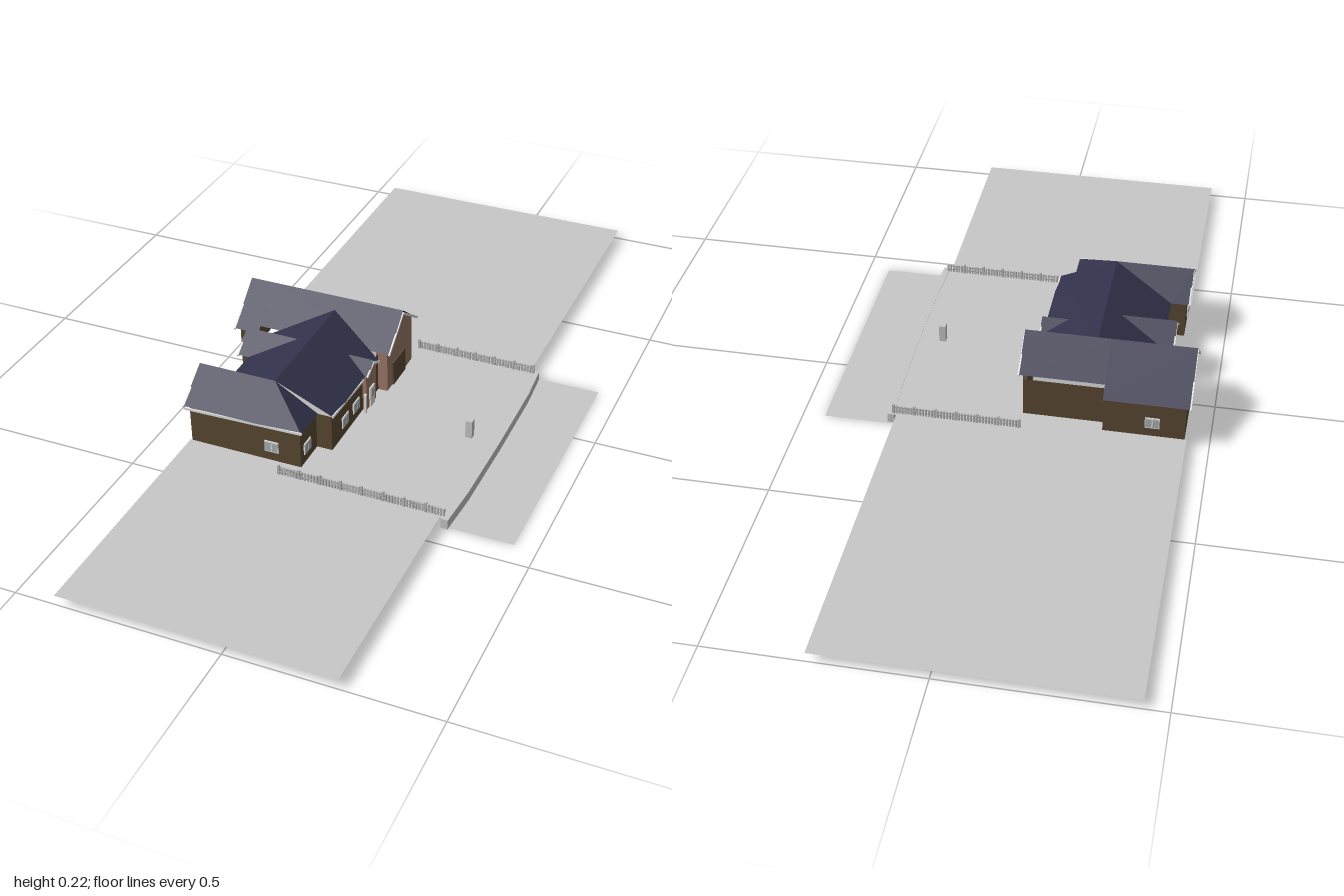
import * as THREE from 'three';

const mat = (name, color) => {
  const m = new THREE.MeshStandardMaterial({ color, side: THREE.DoubleSide });
  m.name = name;
  return m;
};

export function createModel() {
  const model = new THREE.Group();
  const brick = mat('dark brick', 0x5c4933);
  const rose = mat('light brick', 0x9c7a68);
  const slate = mat('roof slate', 0x31314b);
  const white = mat('white trim', 0xe2e2e0);
  const concrete = mat('ground grey', 0xc8c8c8);
  const stone = mat('fence grey', 0xb8b8b8);
  const glass = mat('window glass', 0xa9b4b8);
  const G = 0.025, EAVE = 0.13;

  const add = (name, geo, material, parent = model) => {
    const m = new THREE.Mesh(geo, material);
    m.name = name;
    parent.add(m);
    return m;
  };
  const box = (name, material, x0, x1, y0, y1, z0, z1, parent = model) => {
    const m = add(name, new THREE.BoxGeometry(x1 - x0, y1 - y0, z1 - z0), material, parent);
    m.position.set((x0 + x1) / 2, (y0 + y1) / 2, (z0 + z1) / 2);
    return m;
  };
  // Flat convex polygons, each a loop of corners
  const panels = (name, material, polys) => {
    const pos = [];
    for (const p of polys)
      for (let i = 1; i < p.length - 1; i++) pos.push(...p[0], ...p[i], ...p[i + 1]);
    const g = new THREE.BufferGeometry();
    g.setAttribute('position', new THREE.Float32BufferAttribute(pos, 3));
    g.computeVertexNormals();
    return add(name, g, material);
  };
  // Upright walls along a path of [x, z] points
  const walls = (name, material, path, top = EAVE) =>
    panels(name, material, path.slice(1).map(([x, z], i) => {
      const [a, b] = path[i];
      return [[a, G, b], [x, G, z], [x, top, z], [a, top, b]];
    }));
  // Thin white board between two points
  const board = (name, a, b) => {
    const p = new THREE.Vector3(...a), q = new THREE.Vector3(...b);
    const m = add(name, new THREE.BoxGeometry(0.004, 0.006, p.distanceTo(q)), white);
    m.position.copy(p).lerp(q, 0.5);
    m.position.y -= 0.004;
    m.lookAt(q);
  };
  const flat = (name, material, y, pts) => {
    const s = new THREE.Shape(pts.map(([x, z]) => new THREE.Vector2(x, -z)));
    const m = add(name, new THREE.ShapeGeometry(s), material);
    m.rotation.x = -Math.PI / 2;
    m.position.y = y;
  };

  // Ground: lawn wraps round the house, the road lies lower
  flat('lawn', concrete, G, [
    [-0.445, -1], [0.265, -1], [0.265, -0.205], [0.28, -0.2], [0.288, 0.12], [0.28, 0.435], [0.265, 0.44],
    [0.265, 1], [-0.4, 1], [-0.4, 0.39], [-0.105, 0.39], [-0.105, 0.3], [-0.065, 0.3], [-0.065, 0.02],
    [-0.04, 0.02], [-0.04, -0.14], [-0.24, -0.14], [-0.24, -0.17], [-0.445, -0.17]]);
  flat('road', concrete, 0.001, [[0.275, -0.21], [0.445, -0.21], [0.445, 0.44], [0.275, 0.44]]);

  // Gently bowed retaining wall beside the road
  const bow = (x) => [[x, -0.205], [x + 0.007, -0.1], [x + 0.009, 0.12], [x + 0.007, 0.33], [x, 0.445]];
  const wallShape = new THREE.Shape([...bow(0.27), ...bow(0.287).reverse()]
    .map(([x, z]) => new THREE.Vector2(x, -z)));
  const retaining = add('retainingWall',
    new THREE.ExtrudeGeometry(wallShape, { depth: G + 0.001, bevelEnabled: false }), concrete);
  retaining.rotation.x = -Math.PI / 2;

  // House walls
  walls('garageWingWalls', brick, [[-0.04, -0.14], [-0.24, -0.14], [-0.24, -0.17], [-0.44, -0.17],
    [-0.44, 0.035], [-0.35, 0.035]]);
  walls('garageFrontWalls', rose, [[-0.07, 0.02], [-0.04, 0.02], [-0.04, -0.14]], 0.139);
  walls('mainRightWall', brick, [[-0.065, 0.02], [-0.065, 0.3], [-0.105, 0.3]]);
  walls('frontWingWalls', brick, [[-0.105, 0.3], [-0.105, 0.39], [-0.395, 0.39], [-0.395, 0.25], [-0.35, 0.25]]);
  walls('mainLeftWall', brick, [[-0.35, 0.25], [-0.35, 0.035]]);
  walls('leftBayWalls', brick, [[-0.35, 0.055], [-0.376, 0.055], [-0.376, 0.15], [-0.35, 0.15]]);
  walls('porchWalls', rose, [[-0.066, 0.057], [-0.055, 0.057], [-0.055, 0.117], [-0.066, 0.117]]);

  // Gable ends
  panels('garageGable', rose, [[[-0.04, 0.139, 0.02], [-0.04, 0.139, -0.14], [-0.04, 0.155, -0.14],
    [-0.04, 0.218, -0.06], [-0.04, 0.15, 0.02]]]);
  panels('rearGable', rose, [[[-0.44, EAVE, 0.035], [-0.44, EAVE, -0.17], [-0.44, 0.218, -0.06]]]);
  panels('frontWingGable', rose, [[[-0.395, EAVE, 0.39], [-0.395, EAVE, 0.25], [-0.395, 0.193, 0.31]]]);
  panels('leftBayGable', rose, [[[-0.376, EAVE, 0.055], [-0.376, EAVE, 0.15], [-0.376, 0.175, 0.1]]]);
  panels('porchGable', rose, [[[-0.055, EAVE, 0.057], [-0.055, EAVE, 0.117], [-0.055, 0.154, 0.087]]]);

  // Garage wing roof
  const R = 0.22, RZ = -0.06;
  panels('garageWingRoof', slate, [
    [[-0.45, R, RZ], [-0.24, R, RZ], [-0.24, 0.125, -0.18], [-0.45, 0.125, -0.18]],
    [[-0.24, R, RZ], [-0.03, R, RZ], [-0.03, 0.149, -0.15], [-0.24, 0.149, -0.15]],
    [[-0.45, R, RZ], [-0.385, R, RZ], [-0.385, 0.128, 0.045], [-0.45, 0.128, 0.045]],
    [[-0.385, R, RZ], [-0.03, R, RZ], [-0.03, 0.141, 0.03], [-0.385, 0.141, 0.03]]]);

  // Main roof with a ridge from the garage wing to the front wing
  const M = 0.196, MX = -0.205, MZ = 0.31;
  panels('mainRoof', slate, [
    [[MX, M, -0.033], [MX, M, MZ], [-0.055, EAVE, MZ], [-0.055, EAVE, 0.043]],
    [[MX, M, -0.033], [MX, M, MZ], [-0.357, EAVE, MZ], [-0.357, EAVE, 0.043]]]);
  panels('frontWingRoof', slate, [
    [[-0.405, M, MZ], [MX, M, MZ], [-0.095, EAVE, 0.402], [-0.405, EAVE, 0.402]],
    [[MX, M, MZ], [-0.095, EAVE, MZ], [-0.095, EAVE, 0.402]],
    [[-0.405, M, MZ], [MX, M, MZ], [-0.357, EAVE, 0.24], [-0.405, EAVE, 0.24]]]);
  panels('mainGableStrip', white, [[[MX, M, MZ], [-0.055, EAVE, MZ], [-0.095, EAVE, MZ]]]);

  // Small cross gables
  panels('leftBayRoof', slate, [0.045, 0.155].map((z) =>
    [[-0.386, 0.178, 0.1], [-0.246, 0.178, 0.1], [-0.357, EAVE, z], [-0.386, EAVE, z]]));
  panels('porchRoof', slate, [0.05, 0.124].map((z) =>
    [[-0.047, 0.157, 0.087], [-0.115, 0.157, 0.087], [-0.055, EAVE, z], [-0.047, EAVE, z]]));

  // White boards on gable slopes and eaves
  board('garageFascia', [-0.03, R, RZ], [-0.03, 0.149, -0.15]);
  board('garageFascia', [-0.03, R, RZ], [-0.03, 0.141, 0.03]);
  board('rearFascia', [-0.45, R, RZ], [-0.45, 0.125, -0.18]);
  board('rearFascia', [-0.45, R, RZ], [-0.45, 0.128, 0.045]);
  for (const z of [0.24, 0.402]) board('frontWingFascia', [-0.404, M, MZ], [-0.404, EAVE, z]);
  for (const z of [0.045, 0.155]) board('leftBayFascia', [-0.385, 0.178, 0.1], [-0.385, EAVE, z]);
  for (const z of [0.05, 0.124]) board('porchFascia', [-0.048, 0.157, 0.087], [-0.048, EAVE, z]);
  board('frontEave', [-0.405, EAVE, 0.4], [-0.095, EAVE, 0.4]);
  board('rightEave', [-0.057, EAVE, 0.13], [-0.057, EAVE, MZ]);

  // Windows: frame, two panes and a centre bar, facing along a wall normal
  const windowAt = (x, z, angle, w = 0.036, y = 0.065, h = 0.03) => {
    const g = new THREE.Group();
    g.name = 'window';
    g.position.set(x, y, z);
    g.rotation.y = angle;
    box('windowFrame', white, -w / 2, w / 2, -h / 2, h / 2, 0, 0.003, g);
    for (const s of [-1, 1]) {
      const c = s * w / 4;
      box('windowPane', glass, c - w * 0.2, c + w * 0.2, -h * 0.4, h * 0.4, 0.002, 0.004, g);
    }
    model.add(g);
  };
  windowAt(-0.18, 0.39, 0);
  windowAt(-0.105, 0.355, Math.PI / 2);
  for (const z of [0.225, 0.16]) windowAt(-0.065, z, Math.PI / 2);
  windowAt(-0.36, -0.17, Math.PI);
  for (const [x, z] of [[-0.395, 0.32], [-0.35, 0.2], [-0.376, 0.102]]) windowAt(x, z, -Math.PI / 2);

  // Doors
  box('garageDoor', brick, -0.04, -0.036, G, 0.09, -0.09, -0.012);
  box('frontDoor', white, -0.055, -0.051, G, 0.08, 0.074, 0.1);
  box('frontDoorPane', glass, -0.052, -0.05, 0.05, 0.075, 0.079, 0.095);
  box('porchPost', white, -0.056, -0.05, G, EAVE - 0.05, 0.125, 0.131);

  // Picket fences along both sides of the yard
  const fence = (x0, x1, z) => {
    const g = new THREE.Group();
    g.name = 'fence';
    for (const y of [0.031, 0.041]) box('fenceRail', stone, x0, x1, y, y + 0.003, z - 0.001, z + 0.001, g);
    const n = Math.round((x1 - x0) / 0.0075);
    for (let i = 0; i <= n; i++) {
      const x = x0 + (x1 - x0) * i / n, post = i % 7 === 0, r = post ? 0.003 : 0.002;
      box(post ? 'fencePost' : 'picket', stone, x - r, x + r, G, post ? 0.05 : 0.046, z - r, z + r, g);
    }
    model.add(g);
  };
  fence(-0.143, 0.273, 0.432);
  fence(-0.04, 0.273, -0.196);

  // Pillar in the yard
  box('yardPillar', concrete, 0.21, 0.227, G, 0.072, 0.112, 0.129);
  return model;
}
